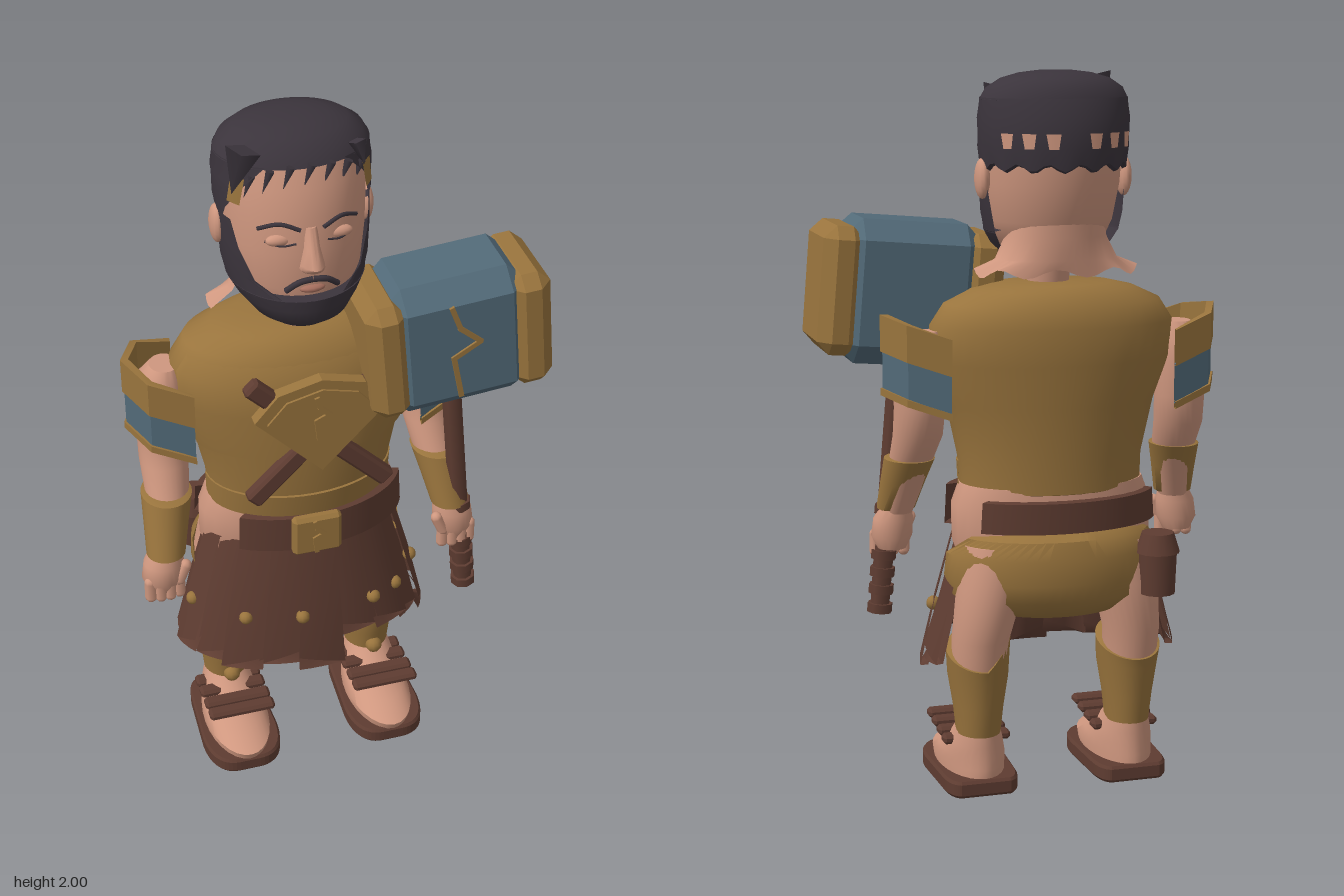
import * as THREE from 'three';
import { toCreasedNormals } from 'three/addons/utils/BufferGeometryUtils.js';
import { ConvexGeometry } from 'three/addons/geometries/ConvexGeometry.js';

const C = -0.08; // the body's middle plane, offset by the weapon on one side
const mat = (name, color) => {
  const m = new THREE.MeshStandardMaterial({ color, side: THREE.DoubleSide });
  m.name = name;
  return m;
};

// Surface through horizontal elliptical rows [y, dx, cz, rx, rz, from, to];
// angles are in half turns from the front. Rows without angles are closed rings.
function loft(rows, { n = 28, s = 1, warp = () => 0 } = {}) {
  const full = rows[0][5] === undefined, cols = full ? n : n + 1;
  const pos = [], idx = [];
  rows.forEach(([y, dx, cz, rx, rz, a0 = 0, a1 = 2], i) => {
    for (let j = 0; j < cols; j++) {
      const u = j / n, a = (a0 + (a1 - a0) * u) * Math.PI;
      pos.push(C + s * (dx + rx * Math.sin(a)), y + warp(a, u, i), cz + rz * Math.cos(a));
    }
  });
  const tri = (a, b, c) => (s > 0 ? idx.push(a, b, c) : idx.push(a, c, b));
  for (let i = 0; i < rows.length - 1; i++) for (let j = 0; j < n; j++) {
    const k = (j + 1) % cols, a = i * cols + j, b = i * cols + k;
    tri(a, b, b + cols);
    tri(a, b + cols, a + cols);
  }
  if (full) [0, rows.length - 1].forEach((i) => {
    const [y, dx, cz] = rows[i], c = pos.length / 3;
    pos.push(C + s * dx, y, cz);
    for (let j = 0; j < n; j++) {
      const a = i * cols + j, b = i * cols + (j + 1) % cols;
      i ? tri(a, b, c) : tri(b, a, c);
    }
  });
  const g = new THREE.BufferGeometry();
  g.setAttribute('position', new THREE.Float32BufferAttribute(pos, 3));
  g.setIndex(idx);
  return toCreasedNormals(g, 0.75);
}

// Box with every edge cut off by c
function chamferBox(w, h, d, c) {
  const p = [], q = [w / 2, h / 2, d / 2];
  for (let k = 0; k < 3; k++) for (let b = 0; b < 8; b++) {
    const v = q.map((e, i) => (i === k ? e : e - c) * (b >> i & 1 ? 1 : -1));
    p.push(new THREE.Vector3(...v));
  }
  return new ConvexGeometry(p);
}

const plate = (pts, depth) => new THREE.ExtrudeGeometry(
  new THREE.Shape(pts.map((p) => new THREE.Vector2(...p))), { depth, bevelEnabled: false });
const tube = (pts, r) => new THREE.TubeGeometry(
  new THREE.CatmullRomCurve3(pts.map((p) => new THREE.Vector3(...p))), 16, r, 6);

export function createModel() {
  const gold = mat('gold armour', 0x99743d), blue = mat('steel blue', 0x526a78);
  const brown = mat('brown leather', 0x5e3c31);
  const skin = mat('skin', 0xcf977f), hair = mat('black hair', 0x3b343c), lip = mat('lips', 0xa8705f);
  const model = new THREE.Group();
  const add = (name, geo, m, x = 0, y = 0, z = 0, parent = model) => {
    const mesh = new THREE.Mesh(geo, m);
    mesh.name = name;
    mesh.position.set(x, y, z);
    parent.add(mesh);
    return mesh;
  };
  // Thin zigzag of straight strips, k tall and w wide
  const zigzag = (name, k, w, x, y, z, parent) => {
    const p = [[-.09, .5], [-.02, .26], [.17, .07], [-.1, -.06], [-.05, -.5]];
    for (let i = 0; i < 4; i++) {
      const dx = (p[i + 1][0] - p[i][0]) * k, dy = (p[i + 1][1] - p[i][1]) * k;
      add(name, new THREE.BoxGeometry(w, Math.hypot(dx, dy) + w * .6, .008), gold,
        x + p[i][0] * k + dx / 2, y + p[i][1] * k + dy / 2, z, parent).rotation.z = Math.atan2(-dx, dy);
    }
  };

  // Torso armour
  add('torso', loft([[.86, 0, -.03, .25, .165], [.865, 0, -.03, .258, .172], [.95, 0, -.025, .262, .178],
    [1.1, 0, -.03, .295, .185], [1.22, 0, -.035, .34, .19], [1.32, 0, -.04, .345, .19], [1.38, 0, -.045, .305, .17],
    [1.415, 0, -.045, .23, .14], [1.43, 0, -.045, .165, .115]], { n: 40 }), gold);
  add('chestPlate', loft([[1.08, 0, -.03, .285, .18, -.42, .42], [1.08, 0, -.03, .303, .198, -.42, .42],
    [1.22, 0, -.035, .346, .203, -.42, .42], [1.32, 0, -.04, .35, .198, -.42, .42],
    [1.37, 0, -.045, .31, .172, -.42, .42]]), gold);
  add('waistBand', loft([[.865, 0, -.03, .262, .178, -.5, .5], [.94, 0, -.025, .265, .184, -.5, .5],
    [.942, 0, -.025, .255, .17, -.5, .5]]), gold);

  // Crossed bars and shield emblem
  for (const s of [-1, 1])
    add('crossBar', chamferBox(.54, .052, .04, .008), brown, C + .01, 1.155, .165).rotation.z = s * .78;
  const shield = [[-.185, .05], [-.12, .125], [0, .155], [.12, .125], [.185, .05], [0, -.14]];
  add('emblem', plate(shield, .035), gold, C + .01, 1.19, .16);
  add('emblemFace', plate(shield.map(([x, y]) => [x * .82, y * .82]), .008), gold, C + .01, 1.19, .194);
  zigzag('emblemBolt', .13, .014, C + .005, 1.23, .205);

  // Hips, shorts and belt
  add('hips', loft([[.54, 0, -.06, .12, .08], [.6, 0, -.05, .24, .13], [.72, 0, -.04, .285, .16],
    [.82, 0, -.035, .285, .165], [.88, 0, -.035, .262, .165]]), skin);
  add('shorts', loft([[.5, 0, -.09, .03, .03, .5, 1.5], [.52, 0, -.08, .18, .12, .5, 1.5],
    [.57, 0, -.06, .29, .18, .47, 1.53], [.62, 0, -.05, .308, .198, .46, 1.54],
    [.69, 0, -.05, .305, .2, .5, 1.5], [.74, 0, -.045, .28, .19, .62, 1.38], [.76, 0, -.04, .25, .16, .66, 1.34]]), gold);
  for (const [name, y, h, a, b] of [['beltFront', .75, .12, -.24, .42], ['beltBack', .755, .095, .72, 1.4]])
    add(name, loft([[y, 0, -.03, .26, .16, a, b], [y + .005, 0, -.03, .302, .19, a, b],
      [y + h - .005, 0, -.03, .296, .19, a, b], [y + h, 0, -.03, .25, .16, a, b]]), brown);
  add('buckle', chamferBox(.14, .125, .035, .01), gold, C, .815, .168);
  zigzag('buckleBolt', .1, .012, C, .815, .188);

  // Skirt of thick leather strips with studs
  [.38, .37, .36, .35, .36, .34, .43, .42, .39, .36, .38].forEach((y, i) => {
    const a = -.58 + i * .1055, b = a + .118, o = (i % 2) * .012;
    const outer = [[y, .362, .222], [.56, .318, .205], [.76, .262, .172]].map(
      ([h, rx, rz]) => [h, 0, -.03, rx + o, rz + o, a, b]);
    const inner = outer.map(([h, dx, cz, rx, rz]) => [h, dx, cz, rx - .022, rz - .022, a, b]).reverse();
    add('skirtStrip', loft([...outer, ...inner, outer[0]],
      { n: 4, warp: (_, u, r) => (r % 5 ? 0 : .045 * (i < 5 ? u : 1 - u)) }), brown);
  });
  for (const a of [-1.35, -.65, -.14, .54, .84, 1.4])
    add('stud', new THREE.SphereGeometry(.02, 10, 8), gold, C + .334 * Math.sin(a), .53, -.03 + .219 * Math.cos(a));

  // Belt pouch at the back
  add('pouch', new THREE.CylinderGeometry(.055, .05, .13, 14), brown, -.34, .635, -.2);
  add('pouchLid', new THREE.CylinderGeometry(.045, .062, .055, 14), brown, -.34, .715, -.2);

  for (const s of [-1, 1]) {
    const o = { s }, X = (dx) => C + s * dx;
    // Legs, greaves and sandals
    add('thigh', loft([[.34, .22, -.08, .075, .085], [.45, .22, -.095, .08, .09], [.6, .195, -.11, .094, .1],
      [.72, .17, -.09, .1, .1]], o), skin);
    add('greave', loft([[.17, .22, -.065, .062, .076], [.25, .22, -.065, .07, .09], [.34, .22, -.062, .084, .108],
      [.44, .22, -.07, .09, .108], [.445, .22, -.075, .075, .08]],
    { s, warp: (a, u, i) => (i > 2 ? -.035 * (1 - Math.cos(a)) + (s > 0 ? .09 * Math.max(0, -Math.sin(a)) : 0) : 0) }), gold);
    add('greaveKnob', new THREE.SphereGeometry(.025, 10, 8), gold, X(.22), .21, .02);
    add('foot', loft([[.05, .22, .04, .092, .185], [.075, .22, .045, .094, .19], [.105, .22, .01, .088, .15],
      [.14, .22, -.035, .075, .105], [.2, .22, -.065, .056, .07]], o), skin);
    const outline = new THREE.Shape();
    outline.moveTo(-.07, -.15).lineTo(.07, -.15).quadraticCurveTo(.095, -.14, .1, -.08).lineTo(.108, .1)
      .quadraticCurveTo(.105, .22, .03, .22).lineTo(-.03, .22).quadraticCurveTo(-.105, .22, -.108, .1)
      .lineTo(-.1, -.08).quadraticCurveTo(-.095, -.14, -.07, -.15);
    const soleGeo = new THREE.ExtrudeGeometry(outline,
      { depth: .032, bevelThickness: .008, bevelSize: .006, bevelSegments: 1 });
    add('sandalSole', soleGeo.rotateX(Math.PI / 2), brown, X(.22), .044, 0);
    [.13, .075, .015, -.04].forEach((z, i) =>
      add('sandalStrap', chamferBox(.195, .026, .042, .008), brown, X(.22), .165 - i * .007, z));

    // Arms, bracers and hands
    add('arm', loft([[.78, .41, .09, .042, .045], [.94, .385, .025, .06, .068], [1.02, .378, -.03, .068, .075],
      [1.1, .375, -.045, .07, .076], [1.2, .378, -.05, .075, .08], [1.26, .375, -.05, .07, .075],
      [1.31, .36, -.05, .04, .045]], o), skin);
    add('bracer', loft([[.785, .412, .1, .045, .045], [.79, .412, .1, .054, .054], [.87, .4, .065, .062, .066],
      [.945, .388, .03, .07, .082], [.95, .388, .03, .058, .066]], o), gold);
    add('hand', loft([[.675, .425, .1, .04, .042], [.71, .425, .1, .058, .054], [.76, .42, .1, .056, .052],
      [.8, .412, .092, .042, .044]], o), skin);
    for (let i = 0; i < 4; i++)
      add('finger', new THREE.CapsuleGeometry(.017, .05, 4, 8), skin, X(.385 + i * .027), .685, .135 - Math.abs(i - 1.5) * .006);
    add('thumb', new THREE.CapsuleGeometry(.017, .05, 4, 8), skin, X(.375), .73, .13).rotation.z = s * .4;

    // Faceted shoulder guards in three bands
    [['guardRim', 1.085, 1.105, .01, gold], ['guardBand', 1.1, 1.21, .004, blue], ['guardTop', 1.205, 1.305, .01, gold]]
      .forEach(([name, y0, y1, e, m]) => {
        const r = .14 + e;
        add(name, loft([[y0, .33, -.03, .128, .128, -.03, 1.03], [y0, .33, -.03, r, r - .004, -.03, 1.03],
          [y1, .33, -.03, r, r - .004, -.03, 1.03], [y1, .33, -.03, .128, .128, -.03, 1.03],
          [y0, .33, -.03, .128, .128, -.03, 1.03]], { n: 4, s, warp: (a) => .05 * Math.sin(a) }), m);
      });
  }

  // Neck and head
  add('neck', loft([[1.38, 0, 0, .055, .055], [1.52, 0, -.01, .065, .07]]), skin);
  add('nape', loft([[1.465, 0, -.08, .23, .095, .42, 1.58], [1.5, 0, -.08, .17, .1, .42, 1.58],
    [1.56, 0, -.075, .14, .108, .42, 1.58], [1.66, 0, -.07, .13, .12, .42, 1.58]],
  { warp: (a, u, i) => (i ? 0 : .012 * Math.sin(u * 30)) }), skin);
  add('head', loft([[1.49, 0, .02, .08, .1], [1.53, 0, -.015, .14, .14], [1.6, 0, -.022, .17, .165],
    [1.7, 0, -.037, .185, .175], [1.8, 0, -.045, .19, .176], [1.87, 0, -.053, .19, .165],
    [1.93, 0, -.052, .182, .14]], { n: 36 }), skin);
  const faceZ = (x) => -.038 + .18 * Math.sqrt(1 - (x / .187) ** 2);
  const onFace = (pts, r) => tube(pts.map(([x, y, e = 0]) => [C + x, y, faceZ(x) + e]), r);
  add('nose', loft([[1.648, 0, .13, .025, .02], [1.662, 0, .133, .034, .042], [1.677, 0, .133, .031, .055],
    [1.72, 0, .125, .022, .038], [1.775, 0, .12, .018, .018]], { n: 16 }), skin);
  for (const s of [-1, 1]) {
    add('eyelid', new THREE.SphereGeometry(.034, 14, 10), skin, C + s * .078, 1.74, faceZ(.078) - .014).scale.set(1.1, .5, .5);
    add('lashLine', onFace([[s * .042, 1.737, .002], [s * .078, 1.73, .003], [s * .115, 1.737, .001]], .003), hair);
    add('eyebrow', onFace([[s * .03, 1.775], [s * .08, 1.792], [s * .13, 1.77]], .0055), hair);
    add('ear', new THREE.SphereGeometry(.05, 14, 10), skin, C + s * .2, 1.715, -.055).scale.set(.4, 1.1, .75);
    add('moustache', onFace([[0, 1.63, .004], [s * .035, 1.625, .006], [s * .07, 1.598, .004]], .008), hair);
    // Side of the beard up to the temple
    add('sideBeard', loft([[1.57, 0, -.03, .182, .195, .13, .6], [1.62, 0, -.035, .193, .193, .26, .6],
      [1.7, 0, -.04, .199, .19, .33, .57], [1.77, 0, -.045, .2, .184, .37, .5]], { n: 12, s }), hair);
    // Gold clip at the temple
    add('templeClip', loft([[1.825, 0, -.053, .211, .184, .29, .36], [1.9, 0, -.055, .211, .176, .26, .33]],
      { n: 4, s }), gold);
  }
  add('mouth', new THREE.SphereGeometry(.03, 12, 8), lip, C, 1.6, .136).scale.set(1.2, .4, .6);
  add('beard', loft([[1.455, 0, .03, .03, .03, -.6, .6], [1.465, 0, .03, .08, .08, -.6, .6],
    [1.5, 0, .01, .13, .145, -.6, .6], [1.54, 0, -.02, .165, .182, -.6, .6],
    [1.575, 0, -.03, .184, .196, -.6, .6], [1.578, 0, -.03, .16, .165, -.6, .6]]), hair);

  // Hair cap, sides, bare patches at the back, fringe and leaf-shaped locks
  add('hairTop', loft([[1.92, 0, -.055, .185, .14], [1.925, 0, -.055, .204, .154], [1.955, 0, -.06, .188, .14],
    [1.98, 0, -.065, .15, .11], [1.994, 0, -.065, .1, .075], [2, 0, -.065, .05, .04]], { n: 36 }), hair);
  add('hairBack', loft([[1.745, 0, -.05, .188, .17, .44, 1.56], [1.75, 0, -.05, .2, .178, .44, 1.56],
    [1.8, 0, -.052, .207, .181, .38, 1.62], [1.875, 0, -.055, .209, .174, .27, 1.73],
    [1.93, 0, -.055, .203, .153, .17, 1.83]],
  { n: 36, warp: (a, u, i) => (i < 2 ? .01 * Math.sin(u * 50) : 0) }), hair);
  for (const a of [.7, .8, .9, 1.08, 1.18, 1.28])
    add('barePatch', loft([[1.8, 0, -.052, .211, .185, a, a + .04], [1.84, 0, -.053, .213, .183, a - .01, a + .05]],
      { n: 4 }), skin);
  for (let i = 0; i < 7; i++) {
    const a = (i - 3) * .27, y = 1.908 - .004 * Math.abs(i - 3) ** 2;
    const lock = add('fringeLock', new THREE.ConeGeometry(.012, .065, 5), hair,
      C + .198 * Math.sin(a), y, -.055 + .16 * Math.cos(a));
    lock.rotation.set(Math.PI, 0, .35);
  }
  for (const [x, y, h, turn] of [[-.25, 1.92, .13, .25], [.07, 1.925, .07, -.3]]) {
    const leaf = add('leafLock', new THREE.ConeGeometry(.35 * h, h, 4), hair, x, y, .06);
    leaf.scale.z = .6;
    leaf.rotation.set(Math.PI, .4, turn);
  }

  // War hammer held in the left hand
  const hammer = new THREE.Group();
  hammer.name = 'hammer';
  hammer.position.set(.3, 1.4, .115);
  hammer.rotation.z = .087;
  model.add(hammer);
  add('hammerCore', chamferBox(.4, .395, .268, .055), blue, 0, 0, -.005, hammer);
  for (const s of [-1, 1]) add('hammerFace', chamferBox(.115, .35, .28, .035), gold, s * .196, 0, 0, hammer);
  zigzag('hammerBolt', .28, .014, 0, 0, .131, hammer);
  add('handle', new THREE.CylinderGeometry(.028, .028, .6, 8), brown, 0, -.48, 0, hammer);
  add('handleGrip', new THREE.CylinderGeometry(.029, .027, .2, 8), brown, 0, -.82, 0, hammer);
  for (const y of [-.215, -.62, -.75, -.8, -.85, -.905])
    add('handleRing', new THREE.CylinderGeometry(.036, .036, .026, 8), brown, 0, y, 0, hammer);
  return model;
}
